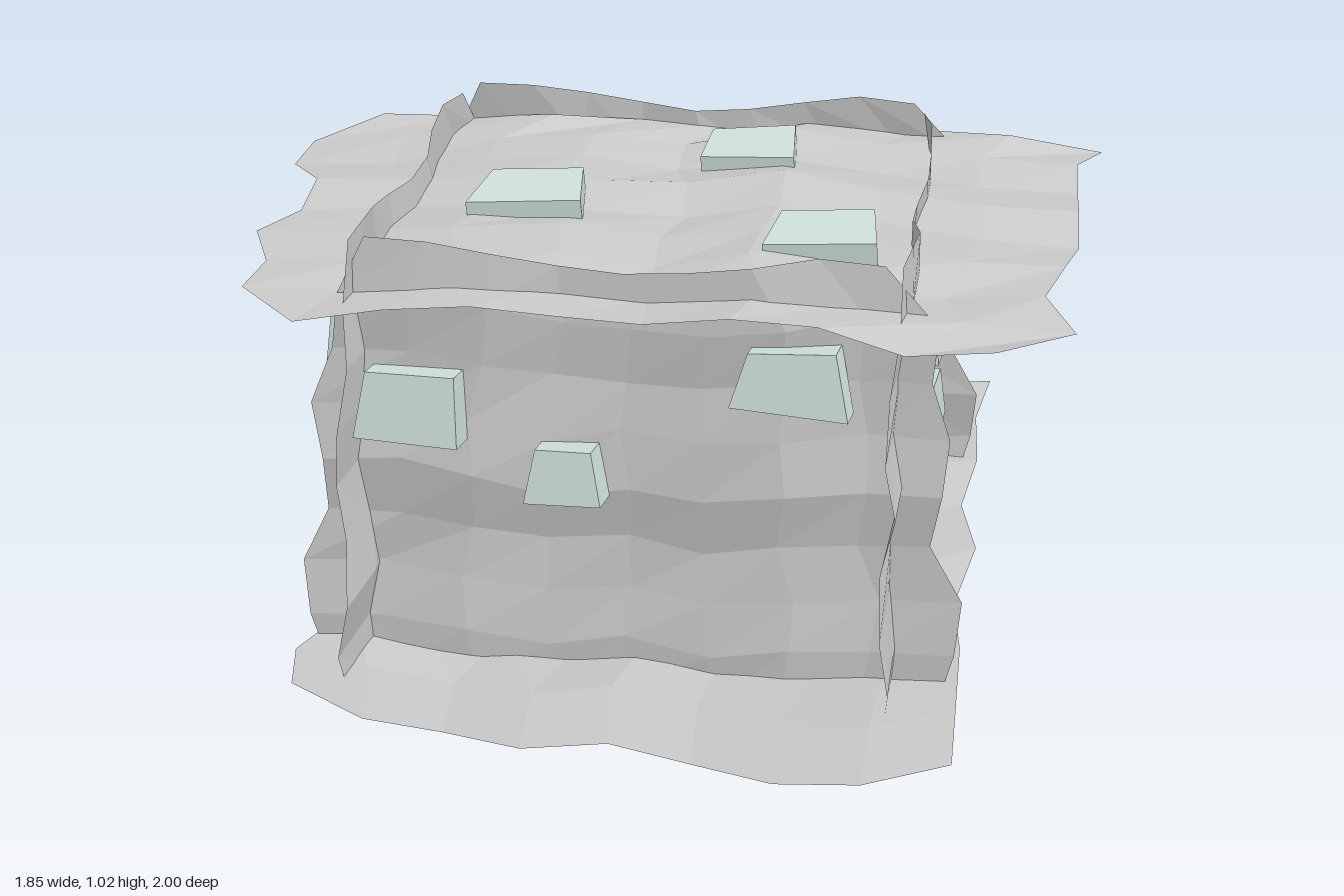
import * as THREE from 'three';

const N = 8; // cells per side of each sheet
const grey = new THREE.MeshStandardMaterial({ color: 0xcccccc, flatShading: true, side: THREE.DoubleSide });
const pale = new THREE.MeshStandardMaterial({ color: 0xd0e2de, flatShading: true });
const { lerp } = THREE.MathUtils;

// Repeatable noise in -1..1
const noise = (i, j, seed) => {
  const s = Math.sin(i * 127.1 + j * 311.7 + seed * 74.7) * 43758.5453;
  return 2 * (s - Math.floor(s)) - 1;
};

// Ragged edges: height of the low and high edge, sideways reach of the left and right edge
const wallEdges = {
  low: [0.05, 0.07, 0.05, 0.01, 0.06, 0.01, 0.04, 0.05, 0.06],
  high: [1.03, 1.03, 1.01, 0.99, 0.98, 0.99, 1.01, 1.03, 1.02],
  left: [-0.68, -0.71, -0.72, -0.66, -0.66, -0.68, -0.63, -0.61, -0.55],
  right: [0.62, 0.65, 0.66, 0.59, 0.61, 0.62, 0.58, 0.59, 0.48],
};
const mirrored = ({ low, high, left, right }) => ({
  low: [...low].reverse(),
  high: [...high].reverse(),
  left: right.map((u) => -u),
  right: left.map((u) => -u),
});
const roofEdges = {
  low: [-0.71, -0.66, -0.65, -0.65, -0.66, -0.66, -0.66, -0.71, -0.71],
  high: [0.58, 0.58, 0.53, 0.57, 0.59, 0.66, 0.62, 0.58, 0.62],
  left: [-0.65, -0.8, -0.8, -0.87, -0.82, -0.83, -0.93, -0.93, -0.8],
  right: [0.7, 0.85, 0.79, 0.83, 0.86, 0.86, 0.86, 0.86, 0.92],
};
const floorEdges = {
  low: [-0.76, -0.88, -0.89, -0.86, -0.93, -0.93, -0.93, -0.93, -1],
  high: [0.78, 0.86, 0.87, 0.93, 0.89, 0.92, 1, 1, 0.87],
  left: [-0.74, -0.74, -0.66, -0.68, -0.64, -0.68, -0.64, -0.73, -0.68],
  right: [0.69, 0.66, 0.67, 0.64, 0.68, 0.64, 0.66, 0.66, 0.66],
};

// Crumpled sheet facing local +z: folds run both ways, curl pulls the outer rim inwards
function sheet({ low, high, left, right }, depth, fold, curl, seed) {
  const geo = new THREE.PlaneGeometry(1, 1, N, N);
  const pos = geo.attributes.position;
  for (let k = 0; k < pos.count; k++) {
    const s = pos.getX(k) + 0.5, t = pos.getY(k) + 0.5;
    const i = Math.round(s * N), j = Math.round(t * N);
    let u = lerp(left[j], right[j], s);
    let v = lerp(low[i], high[i], t);
    if (i > 0 && i < N && j > 0 && j < N) {
      u += 0.012 * noise(i, j, 3);
      v += 0.01 * noise(i, j, 5);
    }
    const rim = Math.max(Math.abs(u), Math.abs(v)) ** 4;
    const folds = Math.cos(11 * (u + 0.35)) - Math.cos(16 * (v - 0.34));
    const crumple = 0.4 * (noise(i, 1, seed) + noise(2, j, seed)) + 0.2 * noise(i, j, seed);
    pos.setXYZ(k, u, v, depth + fold * (0.7 * folds + crumple) - curl * rim);
  }
  return new THREE.Mesh(geo, grey);
}

// Uneven, tapering, slightly tilted slab standing proud of a sheet
function slab([u, v, width, tall, spin = 0], base, height, tilt, seed) {
  const shape = new THREE.Shape([[-1, -1], [1, -1], [0.8, 1], [-0.8, 1]].map(([a, b], i) =>
    new THREE.Vector2(
      a * width * (0.5 + 0.06 * noise(i, 1, seed)),
      b * tall * (0.48 + 0.06 * noise(i, 2, seed)))));
  const geo = new THREE.ExtrudeGeometry(shape, { depth: height, bevelEnabled: false });
  const mesh = new THREE.Mesh(geo, pale);
  mesh.position.set(u, v, base);
  mesh.rotation.set(tilt, -0.07, spin);
  return mesh;
}

const wall = { edges: wallEdges, fold: 0.016, curl: 0, height: 0.08, tilt: -0.12 };

// Each side is built facing +z, then turned; slabs are [across, up, width, height, spin]
const sides = [
  { ...wall, name: 'frontWall', turn: [0, 0], depth: 0.535,
    slabs: [[-0.45, 0.68, 0.22, 0.15], [-0.14, 0.555, 0.16, 0.12], [0.31, 0.785, 0.22, 0.13]] },
  { ...wall, name: 'leftWall', turn: [0, Math.PI / 2], depth: 0.515,
    slabs: [[-0.24, 0.785, 0.17, 0.13], [-0.09, 0.54, 0.16, 0.12], [0.37, 0.655, 0.19, 0.12, 0.12]] },
  { ...wall, name: 'backWall', turn: [0, Math.PI], edges: mirrored(wallEdges), depth: 0.55,
    slabs: [[-0.22, 0.785, 0.17, 0.13], [-0.06, 0.46, 0.16, 0.14, 0.1], [0.25, 0.67, 0.17, 0.13, -0.45]] },
  { ...wall, name: 'rightWall', turn: [0, -Math.PI / 2], edges: mirrored(wallEdges), depth: 0.575,
    slabs: [[-0.28, 0.72, 0.16, 0.13, -0.2], [0.19, 0.46, 0.14, 0.15], [0.42, 0.78, 0.15, 0.12]] },
  { name: 'roof', turn: [-Math.PI / 2, 0], edges: roofEdges, depth: 0.945,
    fold: 0.015, curl: 0.07, height: 0.05, tilt: 0.08,
    slabs: [[0.125, 0.32, 0.23, 0.18], [-0.3, -0.045, 0.26, 0.19], [0.34, -0.22, 0.25, 0.18]] },
  { name: 'floor', turn: [Math.PI / 2, 0], edges: floorEdges, depth: -0.1,
    fold: 0.018, curl: 0.045, height: 0.05, tilt: 0.06,
    slabs: [[0.21, 0.28, 0.22, 0.19], [-0.2, -0.12, 0.21, 0.17], [0.37, -0.34, 0.2, 0.17]] },
];

export function createModel() {
  const model = new THREE.Group();
  model.name = 'crumpledBox';
  sides.forEach(({ name, turn, edges, depth, fold, curl, height, tilt, slabs }, k) => {
    const side = new THREE.Group();
    side.name = name;
    side.rotation.set(turn[0], turn[1], 0);
    const panel = sheet(edges, depth, fold, curl, k + 1);
    panel.name = `${name}Sheet`;
    side.add(panel);
    slabs.forEach((size, i) => {
      const mesh = slab(size, depth - 0.01, height, tilt, 3 * k + i);
      mesh.name = `${name}Slab${i + 1}`;
      side.add(mesh);
    });
    model.add(side);
  });
  return model;
}
